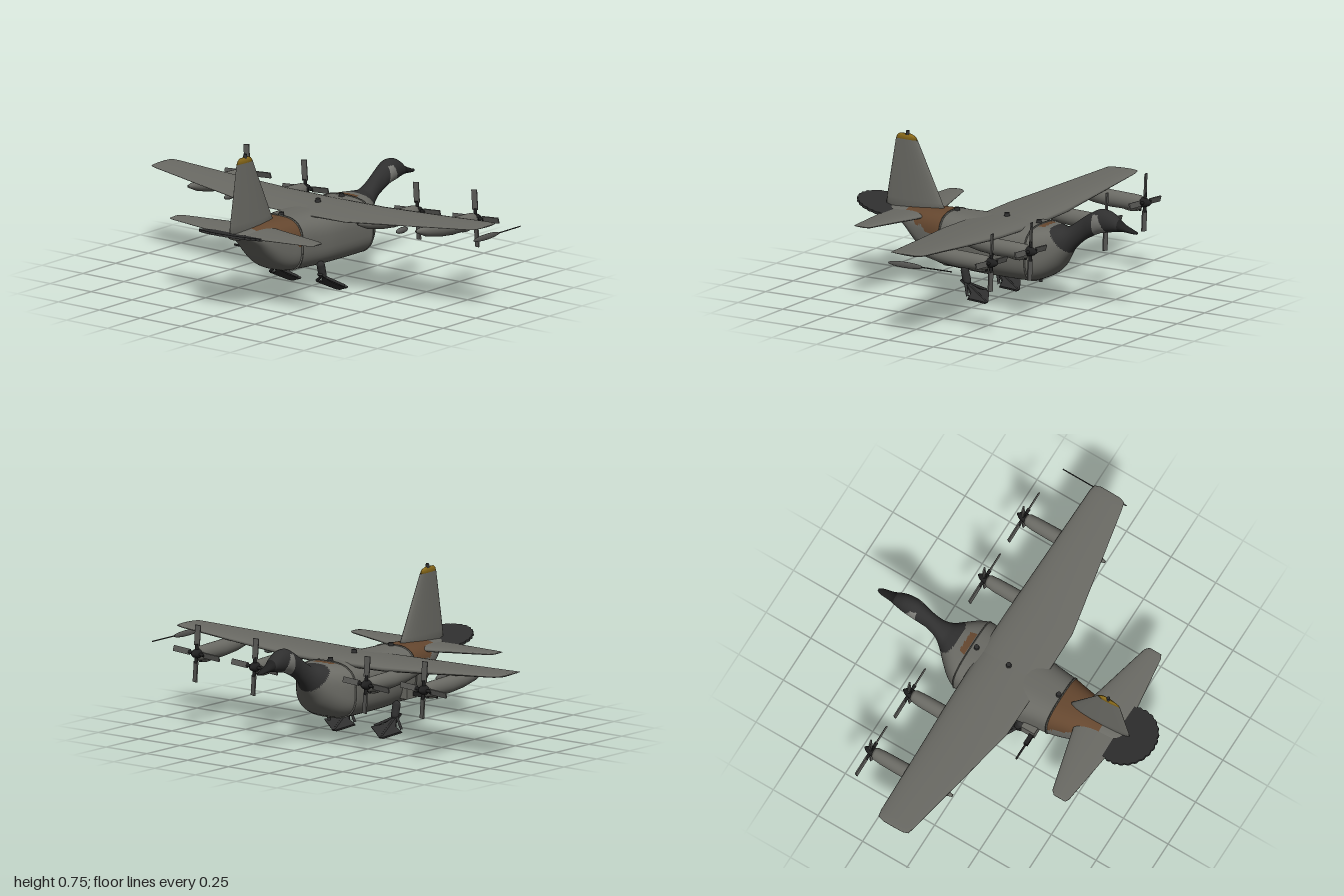
import * as THREE from 'three';

const mat = (name, color) => {
  const m = new THREE.MeshStandardMaterial({ color });
  m.name = name;
  return m;
};
const V = (x, y, z) => new THREE.Vector3(x, y, z);

// Skin a list of rings (arrays of Vector3); pick(center) gives a material index per face
function loft(rings, pick = () => 0) {
  const n = rings[0].length, pts = rings.flat(), faces = [];
  const add = (...f) => faces.push(f);
  rings.slice(1).forEach((_, i) => {
    for (let j = 0; j < n; j++) {
      const a = i * n + j, b = i * n + (j + 1) % n;
      add(a, b, b + n);
      add(a, b + n, a + n);
    }
  });
  [0, rings.length - 1].forEach((r) => {
    const c = rings[r].reduce((s, p) => s.add(p), V(0, 0, 0)).divideScalar(n);
    const ci = pts.push(c) - 1;
    for (let j = 0; j < n; j++) {
      const a = r * n + j, b = r * n + (j + 1) % n;
      if (r === 0) add(ci, b, a); else add(ci, a, b);
    }
  });
  // turn the faces outward
  const volume = faces.reduce((s, [a, b, c]) => s + pts[a].dot(V(0, 0, 0).crossVectors(pts[b], pts[c])), 0);
  const buckets = [];
  faces.forEach(([a, b, c]) => {
    const k = pick(V(0, 0, 0).add(pts[a]).add(pts[b]).add(pts[c]).divideScalar(3));
    (buckets[k] ||= []).push(...(volume < 0 ? [a, c, b] : [a, b, c]));
  });
  const g = new THREE.BufferGeometry().setFromPoints(pts);
  g.setIndex(buckets.flat());
  let start = 0;
  buckets.forEach((b, k) => { g.addGroup(start, b.length, k); start += b.length; });
  g.computeVertexNormals();
  return g;
}

// Aerofoil outline as [chord fraction, half-thickness fraction]
const foil = Array.from({ length: 24 }, (_, i) => {
  const t = (i / 24) * Math.PI * 2, c = (1 - Math.cos(t)) / 2;
  return [c, Math.sin(t) * (1.15 - 0.75 * c) * 0.55];
});
// Flying surface from stations [x, y, zLead, zTrail, thickness]
const wingGeo = (stations) => loft(stations.map(([x, y, a, b, h]) =>
  foil.map(([c, t]) => V(x, y + t * h, a + (b - a) * c))));
const mirrored = (half) => [...half.slice().reverse().map(([x, ...r]) => [-x, ...r]), ...half];

export function createModel() {
  const root = new THREE.Group();
  const grey = mat('hull grey', 0x6a6a64), dark = mat('neck charcoal', 0x2f2f2f),
    brown = mat('feather brown', 0x65472f), pale = mat('cheek grey', 0x7c7c77),
    gold = mat('fin gold', 0x94721c), black = mat('beak black', 0x1f1f1f),
    metal = mat('blade grey', 0x5b5b58);
  const put = (name, geo, m, x = 0, y = 0, z = 0, parent = root) => {
    const mesh = new THREE.Mesh(geo, m);
    mesh.name = name;
    mesh.position.set(x, y, z);
    parent.add(mesh);
    return mesh;
  };

  // Body, neck and head: [z, half width, bottom, top]
  const keys = [
    [-0.775, 0.007, 0.412, 0.425], [-0.75, 0.017, 0.413, 0.433], [-0.7, 0.024, 0.416, 0.455],
    [-0.66, 0.035, 0.412, 0.487], [-0.62, 0.043, 0.403, 0.508], [-0.57, 0.046, 0.393, 0.511],
    [-0.525, 0.042, 0.372, 0.49], [-0.48, 0.037, 0.345, 0.462], [-0.43, 0.045, 0.3, 0.425],
    [-0.39, 0.07, 0.245, 0.402], [-0.35, 0.108, 0.19, 0.4], [-0.3, 0.15, 0.15, 0.4],
    [-0.25, 0.174, 0.131, 0.4], [-0.2, 0.176, 0.127, 0.4], [-0.08, 0.174, 0.127, 0.4],
    [0.04, 0.168, 0.128, 0.4], [0.15, 0.152, 0.131, 0.4], [0.25, 0.14, 0.137, 0.4],
    [0.31, 0.128, 0.148, 0.4], [0.37, 0.116, 0.178, 0.398], [0.43, 0.103, 0.228, 0.393],
    [0.49, 0.086, 0.288, 0.388], [0.55, 0.06, 0.33, 0.383], [0.6, 0.036, 0.347, 0.378], [0.63, 0.01, 0.36, 0.37]];
  const curveA = new THREE.CatmullRomCurve3(keys.map(k => V(k[0], k[1], 0)), false, 'catmullrom', 0.5);
  const curveB = new THREE.CatmullRomCurve3(keys.map(k => V(k[0], k[2], k[3])), false, 'catmullrom', 0.5);
  const section = (t, grow = 0) => {
    const a = curveA.getPoint(t), b = curveB.getPoint(t), z = a.x;
    const square = THREE.MathUtils.smoothstep(z, -0.42, -0.25) * (1 - THREE.MathUtils.smoothstep(z, 0.3, 0.55));
    const e = 2 / (2 + 0.9 * square), mid = (b.y + b.z) / 2, h = (b.z - b.y) / 2 + grow;
    const bend = (v) => Math.sign(v) * Math.abs(v) ** e;
    return Array.from({ length: 56 }, (_, i) => {
      const q = (i / 56) * Math.PI * 2;
      return V((a.y + grow) * bend(Math.cos(q)), mid + h * bend(Math.sin(q)), z);
    });
  };
  const paint = ({ x, y, z }) => {
    if (z < -0.675) return 4;
    if (z < -0.542 && z > -0.575 - (0.49 - y) * 0.45 && y < 0.488 && Math.abs(x) > 0.008) return 3;
    if (z < -0.41 + (y - 0.28) * 0.75) return 1;
    if (z > 0.25 && z < 0.49 && y > 0.275 + (z - 0.25) * 0.42 + 0.008 * Math.sin(z * 90)) return 2;
    if (z > -0.29 && z < -0.255 && y > 0.38 && Math.abs(x) < 0.055) return 2;
    return 0;
  };
  put('bodyNeckAndHead', loft(Array.from({ length: 169 }, (_, i) => section(i / 168)), paint),
    [grey, dark, brown, pale, black]);
  // Raised hoops around the body
  for (const k of [12, 17]) {
    const t = k / (keys.length - 1);
    put('bodyHoop', loft([section(t - 0.002, 0.004), section(t + 0.002, 0.004)]), grey);
  }

  // Main wing and stabilizer
  put('mainWing', wingGeo(mirrored([
    [0, 0.385, -0.205, 0.13, 0.055], [0.3, 0.39, -0.2, 0.128, 0.05], [0.62, 0.41, -0.188, 0.068, 0.034],
    [0.95, 0.432, -0.177, 0.006, 0.018], [0.985, 0.435, -0.17, -0.003, 0.014], [0.995, 0.436, -0.14, -0.03, 0.006]])), grey);
  put('stabilizer', wingGeo(mirrored([
    [0, 0.365, 0.35, 0.59, 0.035], [0.14, 0.367, 0.385, 0.585, 0.03],
    [0.42, 0.374, 0.457, 0.55, 0.014], [0.438, 0.375, 0.475, 0.54, 0.006]])), grey);

  // Tail fin, gold tip and beacon: [y, zLead, zTrail, thickness]
  const finGeo = (rows) => loft(rows.map(([y, a, b, h]) => foil.map(([c, t]) => V(t * h, y, a + (b - a) * c))));
  put('tailFin', finGeo([[0.36, 0.285, 0.635, 0.05], [0.42, 0.315, 0.628, 0.042], [0.712, 0.455, 0.578, 0.018]]), grey);
  put('finTip', finGeo([[0.712, 0.455, 0.578, 0.018], [0.73, 0.468, 0.57, 0.016], [0.74, 0.49, 0.555, 0.01]]), gold);
  put('finBeacon', new THREE.CylinderGeometry(0.008, 0.01, 0.02, 12), dark, 0, 0.745, 0.512);

  // Feathered tail fan with a scalloped rim
  const fan = new THREE.Shape();
  for (let i = 0; i <= 160; i++) {
    const q = (i / 160) * Math.PI * 2;
    const r = 0.15 + 0.007 * Math.abs(Math.sin(q * 13));
    fan[i ? 'lineTo' : 'moveTo'](r * Math.cos(q), r * Math.sin(q));
  }
  const fanMesh = put('tailFan', new THREE.ExtrudeGeometry(fan, { depth: 0.012, bevelEnabled: false }), dark, 0, 0.383, 0.615);
  fanMesh.rotation.x = Math.PI / 2 - 0.24;

  // Engines with four-bladed propellers
  const bladeGeo = new THREE.BoxGeometry(0.028, 0.1, 0.007).translate(0, 0.09, 0);
  const cuffGeo = new THREE.CylinderGeometry(0.009, 0.008, 0.035, 10).translate(0, 0.03, 0);
  const circle = (r, y, z) => Array.from({ length: 24 }, (_, i) => {
    const q = (i / 24) * Math.PI * 2;
    return V(r * Math.cos(q), y + r * 1.15 * Math.sin(q), z);
  });
  const nacelleGeo = loft([[0.022, 0, -0.372], [0.03, -0.003, -0.36], [0.034, -0.005, -0.32], [0.036, -0.003, -0.2],
    [0.034, 0.005, -0.1], [0.024, 0.015, 0], [0.006, 0.025, 0.07]].map(a => circle(...a)));
  for (const [x, y] of [[-0.7, 0.37], [-0.348, 0.35], [0.336, 0.35], [0.692, 0.37]]) {
    const engine = new THREE.Group();
    engine.name = 'engine';
    engine.position.set(x, y, 0);
    root.add(engine);
    put('nacelle', nacelleGeo, grey, 0, 0, 0, engine);
    const scoop = put('intakeScoop', new THREE.SphereGeometry(0.022, 16, 10), grey, 0, -0.034, -0.31, engine);
    scoop.scale.set(0.8, 0.8, 2.4);
    put('intakeMouth', new THREE.CylinderGeometry(0.01, 0.01, 0.006, 14).rotateX(Math.PI / 2), black, 0, -0.036, -0.358, engine);
    put('spinner', new THREE.LatheGeometry([[0.024, 0], [0.023, 0.018], [0.016, 0.036], [0.007, 0.048], [0, 0.054]]
      .map(p => new THREE.Vector2(...p)), 20).rotateX(-Math.PI / 2), black, 0, 0, -0.37, engine);
    for (let i = 0; i < 4; i++) {
      const arm = new THREE.Group();
      arm.name = 'propellerBlade';
      arm.position.z = -0.385;
      arm.rotation.z = 0.07 + (i * Math.PI) / 2;
      engine.add(arm);
      put('cuff', cuffGeo, black, 0, 0, 0, arm);
      put('blade', bladeGeo, metal, 0, 0, 0, arm).rotation.y = 0.25;
    }
  }

  // Webbed feet and legs
  const web = new THREE.Shape([[-0.016, 0], [0.016, 0], [0.018, -0.05], [0.04, -0.088], [0.097, -0.112], [0.05, -0.142],
    [0.012, -0.168], [-0.012, -0.168], [-0.05, -0.142], [-0.092, -0.112], [-0.04, -0.088], [-0.018, -0.05]]
    .map(p => new THREE.Vector2(...p)));
  const webGeo = new THREE.ExtrudeGeometry(web, { depth: 0.01, bevelEnabled: false });
  for (const s of [-1, 1]) {
    put('webbedFoot', webGeo, dark, s * 0.143, 0.11, 0.115).rotation.x = 0.95;
    put('leg', new THREE.CapsuleGeometry(0.02, 0.05, 6, 14), dark, s * 0.138, 0.125, 0.1).rotation.x = 0.25;
    for (const u of [-0.5, 0, 0.5]) {
      const end = V(s * 0.143 + u * 0.17, u ? 0.047 : 0.014, u ? 0.035 : -0.014);
      put('toe', new THREE.TubeGeometry(new THREE.LineCurve3(V(s * 0.143, 0.095, 0.1), end), 1, 0.007, 8), dark);
    }
    // Small fairing beneath each wing
    const pod = put('underwingPod', new THREE.SphereGeometry(0.015, 14, 10), metal, s * 0.525, 0.355, -0.03);
    pod.scale.set(0.8, 1, 3);
  }

  // Side gun
  put('gunMount', new THREE.BoxGeometry(0.05, 0.06, 0.075), grey, -0.155, 0.205, 0.17);
  put('gunBody', new THREE.BoxGeometry(0.07, 0.022, 0.022), black, -0.2, 0.196, 0.192);
  put('gunBarrel', new THREE.CylinderGeometry(0.005, 0.005, 0.13, 10).rotateZ(Math.PI / 2), black, -0.255, 0.194, 0.192);

  // Slim pod with a long probe beside the left wing tip
  put('tipPod', new THREE.SphereGeometry(0.1, 14, 12).scale(0.06, 0.15, 1), metal, 0.992, 0.385, -0.09);
  put('tipProbe', new THREE.CylinderGeometry(0.003, 0.003, 0.19, 8).rotateX(Math.PI / 2), dark, 0.992, 0.385, -0.255);

  // Domes along the back and lamps along the belly
  for (const [y, z] of [[0.402, -0.225], [0.413, -0.045], [0.402, 0.235]])
    put('backDome', new THREE.CylinderGeometry(0.012, 0.015, 0.025, 16), dark, 0, y, z);
  for (const z of [-0.235, -0.17])
    put('bellyLamp', new THREE.CylinderGeometry(0.01, 0.008, 0.03, 12), dark, 0, 0.125, z);
  return root;
}
